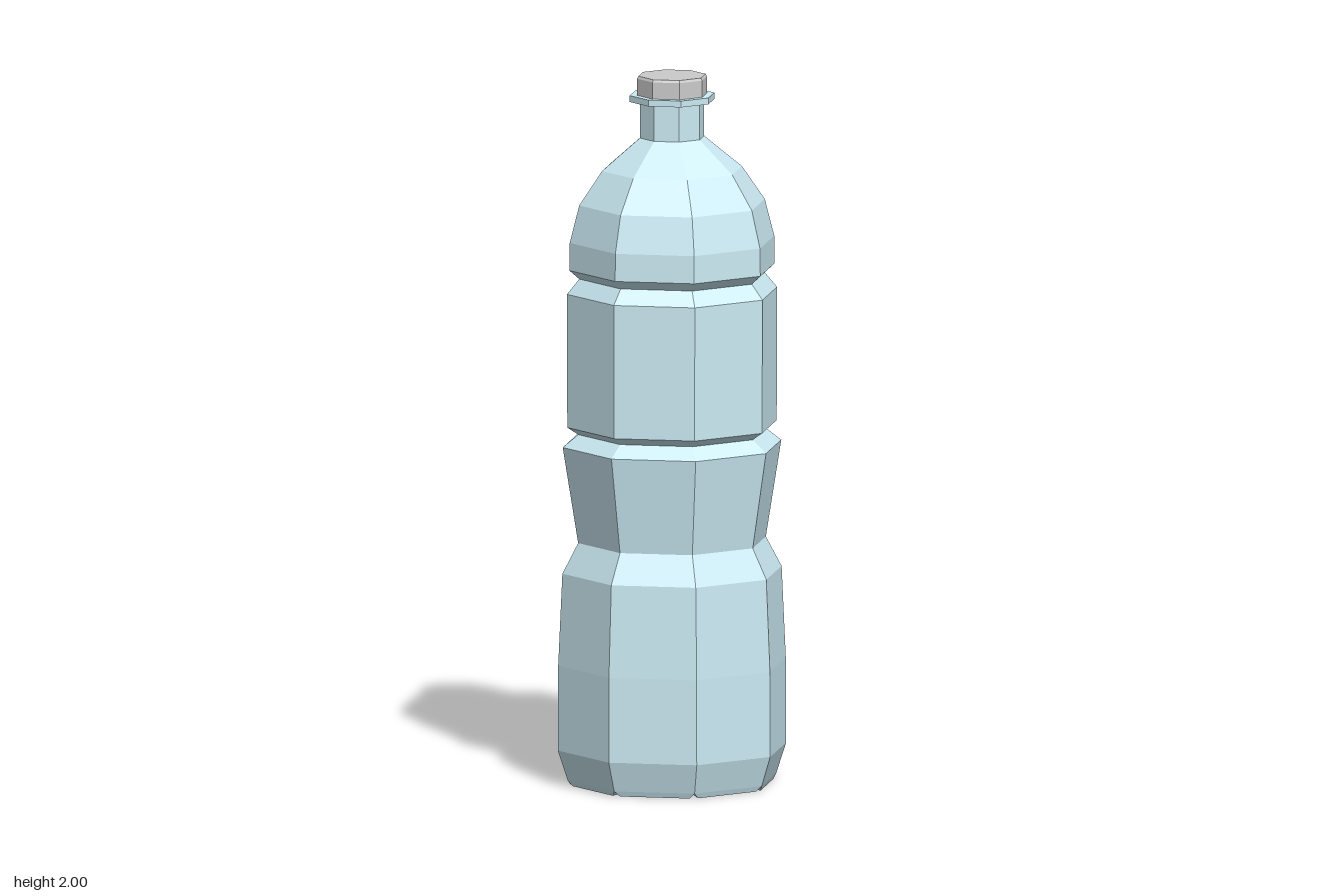
import * as THREE from 'three';

const SIDES = 8;
const HALF = Math.PI / SIDES;

const plastic = new THREE.MeshStandardMaterial({ color: 0xcdecf6, flatShading: true });
const capGrey = new THREE.MeshStandardMaterial({ color: 0xcccccc, flatShading: true });

// Eight-sided turned part from [radius, height] pairs, listed bottom to top
function turned(name, profile, material) {
  const points = profile.map(([r, y]) => new THREE.Vector2(r, y));
  const mesh = new THREE.Mesh(new THREE.LatheGeometry(points, SIDES), material);
  mesh.name = name;
  return mesh;
}

// Bevelled slab: sloping sides from a base loop to a face loop, plus the face
// (loops run counter-clockwise as seen from the face side)
function bevelledSlab(name, base, face, angle) {
  const v = [];
  const n = base.length;
  for (let i = 0; i < n; i++) {
    const j = (i + 1) % n;
    v.push(...base[i], ...base[j], ...face[j], ...base[i], ...face[j], ...face[i]);
  }
  for (let i = 1; i < n - 1; i++) v.push(...face[0], ...face[i], ...face[i + 1]);
  const geometry = new THREE.BufferGeometry();
  geometry.setAttribute('position', new THREE.Float32BufferAttribute(v, 3));
  geometry.rotateY(angle);
  geometry.computeVertexNormals();
  const mesh = new THREE.Mesh(geometry, plastic);
  mesh.name = name;
  return mesh;
}

export function createModel() {
  const bottle = new THREE.Group();
  bottle.name = 'bottle';

  // Shell: base, waist, two grooves, dome and neck
  bottle.add(turned('shell', [
    [0, 0.015], [0.298, 0.015], [0.326, 0.1], [0.325, 0.34], [0.313, 0.6],
    [0.268, 0.685], [0.312, 0.957], [0.268, 0.992],
    [0.299, 1.013], [0.3, 1.39], [0.265, 1.432],
    [0.293, 1.457], [0.292, 1.535], [0.265, 1.64], [0.2, 1.735],
    [0.092, 1.825], [0.092, 1.94],
  ], plastic));

  // Collar under the cap
  bottle.add(turned('neckRing', [
    [0.09, 1.928], [0.121, 1.928], [0.121, 1.946], [0.09, 1.946],
  ], plastic));

  // Screw cap with a slight top bevel
  bottle.add(turned('cap', [
    [0, 1.946], [0.1, 1.946], [0.1, 1.993], [0.096, 2], [0, 2],
  ], capGrey));

  // Raised label panel on one back face
  const w = 0.3 * Math.sin(HALF);
  const d = 0.3 * Math.cos(HALF);
  const rect = (x, y0, y1, z) => [[-x, y0, z], [x, y0, z], [x, y1, z], [-x, y1, z]];
  bottle.add(bevelledSlab('labelPanel',
    rect(w, 1.015, 1.39, d - 0.001), rect(w - 0.022, 1.05, 1.345, d + 0.016), 9 * HALF));

  // Wedge feet separated by V-shaped grooves
  const feet = new THREE.Group();
  feet.name = 'feet';
  const wedge = (tip, outer, inset, y) => {
    const x = outer * Math.tan(HALF) - inset / Math.cos(HALF);
    return [[0, y, tip], [x, y, outer], [-x, y, outer]];
  };
  const outer = 0.298 * Math.cos(HALF);
  const gap = 0.012;
  for (let i = 0; i < SIDES; i++) {
    feet.add(bevelledSlab('foot', wedge(0, outer, 0, 0.015),
      wedge(gap / Math.sin(HALF), outer - 0.006, gap, 0), (2 * i + 1) * HALF));
  }
  bottle.add(feet);

  return bottle;
}
